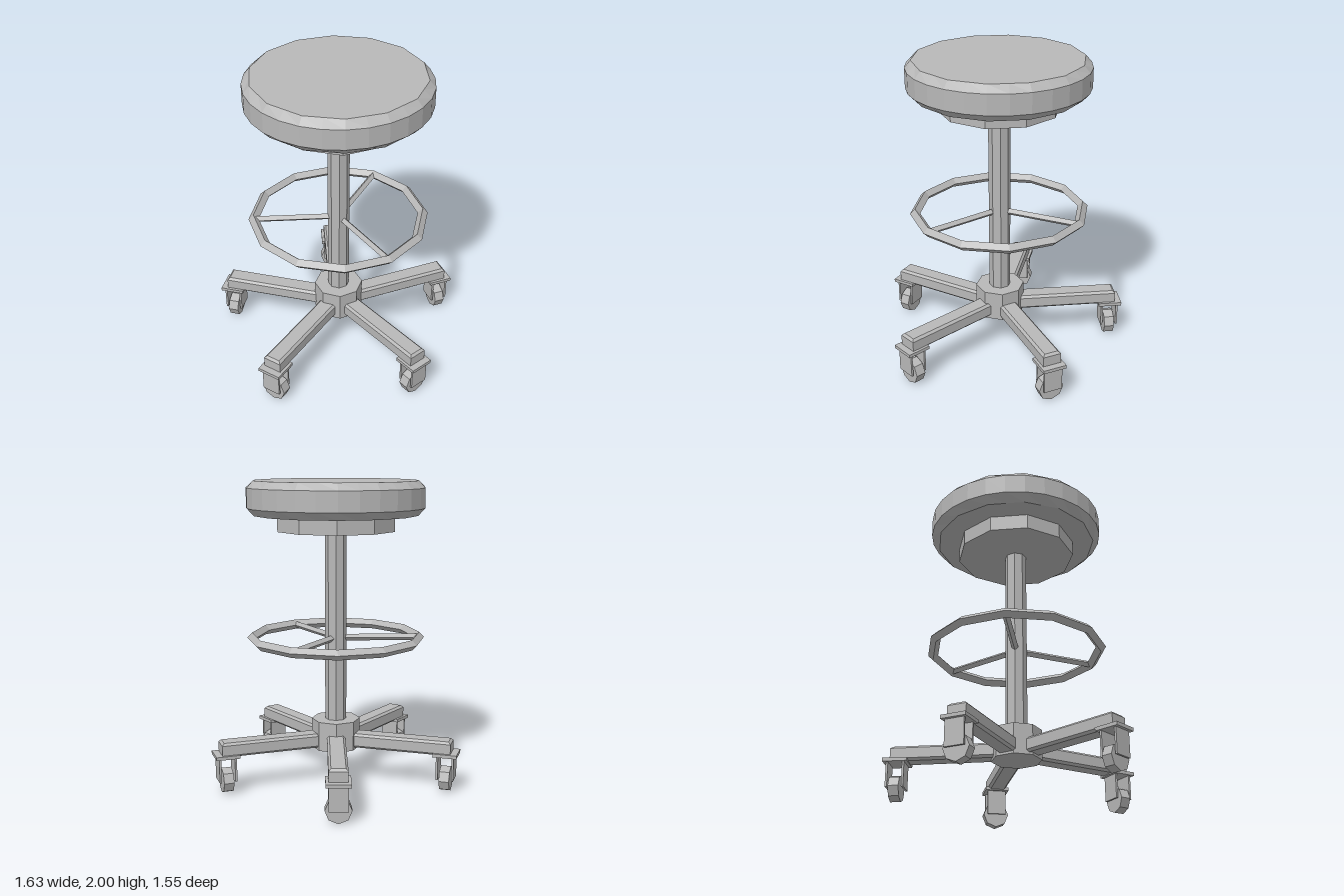
import * as THREE from 'three';

const grey = new THREE.MeshStandardMaterial({ color: 0xb8b8b8, flatShading: true });
grey.name = 'grey';

function part(name, geometry, parent, x = 0, y = 0, z = 0) {
  const mesh = new THREE.Mesh(geometry, grey);
  mesh.name = name;
  mesh.position.set(x, y, z);
  parent.add(mesh);
  return mesh;
}

// Padded seat: 28-sided rim whose top and bottom faces are 14-sided
function seatGeometry() {
  const profile = [[0, 1.78], [0.53, 1.78], [0.574, 1.828], [0.574, 1.955], [0.535, 2], [0, 2]];
  const geo = new THREE.LatheGeometry(profile.map(([r, y]) => new THREE.Vector2(r, y)), 28);
  const p = geo.attributes.position;
  for (let i = 0; i < p.count; i++) {
    const y = p.getY(i);
    const step = Math.floor(i / profile.length);
    if (step % 2 === 1 && (y < 1.79 || y > 1.99)) {
      const k = Math.cos(Math.PI / 14);
      p.setX(i, p.getX(i) * k);
      p.setZ(i, p.getZ(i) * k);
    }
  }
  geo.computeVertexNormals();
  return geo;
}

// Chamfered beam reaching from the hub towards -z
function armGeometry(inner, outer) {
  const bevel = 0.015, w = 0.045, a = inner + bevel, b = outer - bevel;
  const shape = new THREE.Shape();
  shape.moveTo(-w, a).lineTo(w, a).lineTo(w, b).lineTo(-w, b).closePath();
  const geo = new THREE.ExtrudeGeometry(shape, {
    depth: 0.065, bevelEnabled: true, bevelSegments: 1, bevelSize: bevel, bevelThickness: bevel,
  });
  geo.rotateX(-Math.PI / 2);
  geo.translate(0, 0.265, 0);
  return geo;
}

// One base leg with its caster, pointing to -z
function makeLeg() {
  const leg = new THREE.Group();
  leg.name = 'leg';
  const r = 0.752;
  part('legArm', armGeometry(0.12, 0.787), leg);
  part('casterPlate', new THREE.BoxGeometry(0.156, 0.022, 0.156), leg, 0, 0.254, -r);
  for (const side of [-1, 1]) {
    part('casterFork', new THREE.BoxGeometry(0.122, 0.16, 0.013), leg, 0, 0.165, -r + side * 0.051);
  }
  const wheel = new THREE.CylinderGeometry(0.083, 0.083, 0.066, 8).rotateX(Math.PI / 2);
  part('casterWheel', wheel, leg, 0, 0.085, -r);
  return leg;
}

export function createModel() {
  const stool = new THREE.Group();
  stool.name = 'stool';
  const body = new THREE.Group();
  body.name = 'body';
  body.position.z = 0.06;
  stool.add(body);

  // Seat, mount and column
  part('seat', seatGeometry(), body);
  part('seatMount', new THREE.CylinderGeometry(0.39, 0.39, 0.1, 10), body, 0, 1.73);
  part('column', new THREE.CylinderGeometry(0.07, 0.07, 1.3, 8), body, 0, 1.04);
  part('hub', new THREE.CylinderGeometry(0.16, 0.16, 0.195, 8), body, 0, 0.3325);

  // Foot ring with three spokes
  part('footRing', new THREE.TorusGeometry(0.549, 0.033, 4, 12).rotateX(Math.PI / 2), body, 0, 0.98);
  for (let i = 0; i < 3; i++) {
    const spoke = new THREE.CylinderGeometry(0.022, 0.022, 0.52, 4).rotateX(Math.PI / 2);
    spoke.translate(0, 0, -0.29);
    part('footRingSpoke', spoke, body, 0, 0.98).rotation.y = -(Math.PI / 6 + i * Math.PI * 2 / 3);
  }

  // Five-legged base
  for (let i = 0; i < 5; i++) {
    const leg = makeLeg();
    leg.rotation.y = i * Math.PI * 2 / 5;
    body.add(leg);
  }
  return stool;
}
